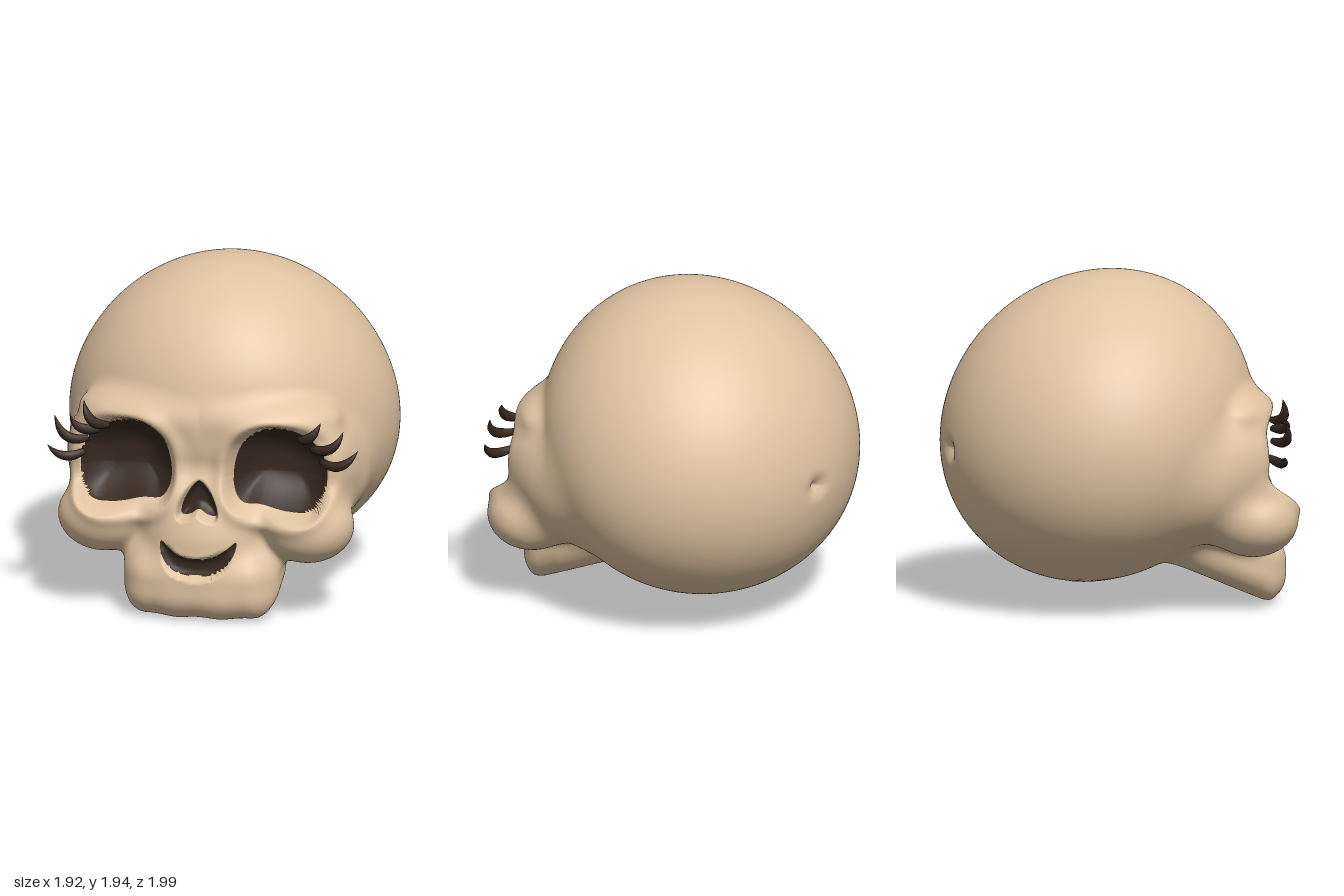
import * as THREE from 'three';

const V2 = (x, y) => new THREE.Vector2(x, y);

// Soft blending of simple solids
const smin = (a, b, k) => {
  const h = Math.max(k - Math.abs(a - b), 0) / k;
  return Math.min(a, b) - h * h * k * 0.25;
};
function ellipsoid(x, y, z, rx, ry, rz) {
  const k0 = Math.hypot(x / rx, y / ry, z / rz);
  const k1 = Math.hypot(x / rx ** 2, y / ry ** 2, z / rz ** 2);
  return k0 < 1e-6 ? -Math.min(rx, ry, rz) : k0 * (k0 - 1) / k1;
}
function roundBox(x, y, z, hx, hy, hz, r) {
  const a = Math.abs(x) - hx + r, b = Math.abs(y) - hy + r, c = Math.abs(z) - hz + r;
  return Math.hypot(Math.max(a, 0), Math.max(b, 0), Math.max(c, 0)) + Math.min(Math.max(a, b, c), 0) - r;
}

// Bone surface: cranium, temples, sockets, brow, nose, cheeks, muzzle and jaw
function bone(px, y, z) {
  const x = Math.abs(px);
  let d = ellipsoid(x * (1 + 0.08 * (y - 0.95)), y - 1.05, z + 0.1 - 0.1 * (y - 1.05), 0.965, 0.9, 0.9);
  if (z < -0.3) return d;
  d = smin(d, ellipsoid(x - 0.45, y - 0.8, z - 0.34, 0.42, 0.38, 0.38), 0.14);
  d = smin(d, ellipsoid(x - 0.4, y - 0.92, z - 0.5, 0.43, 0.35, 0.31), 0.1);
  d = smin(d, ellipsoid(x - 0.36, y - 1.17, z - 0.7 + 0.2 * x, 0.4, 0.13, 0.19), 0.08);
  d = smin(d, ellipsoid(x, y - 1.06, z - 0.58, 0.3, 0.32, 0.24), 0.08);
  d = smin(d, ellipsoid(x, y - 0.66, z - 0.62, 0.4, 0.28, 0.27), 0.08);
  d = smin(d, ellipsoid(x - 0.6, y - 0.55, z - 0.65, 0.27, 0.215, 0.26), 0.12);
  d = smin(d, ellipsoid(x, y - 0.46, z - 0.7, 0.36, 0.28, 0.265), 0.1);
  const jawX = x * (1 + 0.3 * Math.max(0, 0.6 - z)), jawY = y - 0.21 - 0.44 * Math.max(0, 0.84 - z);
  d = smin(d, roundBox(jawX, jawY, z - 0.585 + 0.4 * x * x, 0.46, 0.2, 0.4, 0.16), 0.1);
  // shallow scallops along the chin
  if (y < 0.25) d += 0.005 * Math.cos(x * 24) * (0.25 - y) / 0.25;
  // raised rim round each eye
  const rim = roundBox(x - 0.46, y - 0.89, 0, 0.27, 0.24, 1, 0.2);
  return d - 0.025 * Math.exp(-(((rim - 0.06) / 0.05) ** 2)) * Math.min(1, Math.max(0, (z - 0.4) / 0.25));
}

// March inwards along a ray to the outermost surface
function hit(origin, dir, start) {
  let t = start;
  const p = new THREE.Vector3();
  for (let i = 0; i < 90; i++) {
    p.copy(origin).addScaledVector(dir, t);
    const d = bone(p.x, p.y, p.z);
    if (d < 0.0003) break;
    t -= d * 0.75;
  }
  return p;
}

// Signed distance to a closed outline, negative inside
function outlineDistance(pts, x, y) {
  let best = 1e9, inside = false;
  for (let i = 0, j = pts.length - 1; i < pts.length; j = i++) {
    const a = pts[i], b = pts[j], ex = b.x - a.x, ey = b.y - a.y, wx = x - a.x, wy = y - a.y;
    const t = Math.min(1, Math.max(0, (wx * ex + wy * ey) / (ex * ex + ey * ey + 1e-12)));
    best = Math.min(best, Math.hypot(wx - ex * t, wy - ey * t));
    if ((a.y > y) !== (b.y > y) && x < ex * (y - a.y) / ey + a.x) inside = !inside;
  }
  return inside ? -best : best;
}

const loop = (pairs) => {
  const s = new THREE.CatmullRomCurve3(pairs.map(([x, y]) => new THREE.Vector3(x, y, 0)), true, 'centripetal');
  return s.getPoints(48).slice(0, -1).map((p) => V2(p.x, p.y));
};
const eye = loop([[0.19, 0.78], [0.19, 0.92], [0.24, 1.05], [0.35, 1.13], [0.5, 1.135], [0.63, 1.08],
  [0.715, 0.98], [0.73, 0.85], [0.71, 0.73], [0.65, 0.66], [0.5, 0.655], [0.35, 0.69], [0.24, 0.70]]);
const nose = loop([[0, 0.83], [0.045, 0.79], [0.1, 0.68], [0.1, 0.625], [0.05, 0.63], [0, 0.66],
  [-0.05, 0.63], [-0.1, 0.625], [-0.1, 0.68], [-0.045, 0.79]]);
const mouth = loop([[-0.21, 0.48], [-0.19, 0.475], [-0.11, 0.405], [0, 0.382], [0.11, 0.405], [0.21, 0.475], [0.235, 0.495],
  [0.225, 0.42], [0.15, 0.32], [0.06, 0.285], [-0.06, 0.285], [-0.15, 0.32], [-0.205, 0.41]]);

// Nearest opening: signed distance, z of its edge, width of the rolled lip, depth and width of the dish
function opening(x, y) {
  const eyeZ = 0.745 - 0.06 * Math.abs(x) + 0.2 * Math.max(0, 0.85 - y);
  const all = [[outlineDistance(eye, Math.abs(x), y), eyeZ, 0.055, 0.12, 0.2],
    [outlineDistance(nose, x, y), 0.83, 0.025, 0.04, 0.05],
    [outlineDistance(mouth, x, y), 0.93, 0.02, 0.02, 0.04]];
  return all.reduce((a, b) => (b[0] < a[0] ? b : a));
}

function skullGeometry() {
  const cols = 300, rows = 215, snap = 0.006;
  const centre = new THREE.Vector3(0, 0.75, 0.25), back = new THREE.Vector3(0, 0, 1);
  const pos = [], hollow = [];
  for (let i = 0; i <= rows; i++) {
    // rows and columns are closer together on the face
    const r = Math.PI * i / rows, p = r + 0.25 * Math.sin(2 * r);
    for (let j = 0; j < cols; j++) {
      const t = 2 * Math.PI * j / cols - Math.PI, a = t - 0.5 * Math.sin(t);
      const dir = new THREE.Vector3(Math.sin(a) * Math.sin(p), Math.cos(p), Math.cos(a) * Math.sin(p));
      let v = hit(centre, dir, 1.9), inHole = false;
      if (v.z > 0.5 && v.y > 0.2 && v.y < 1.2 && Math.abs(v.x) < 0.8) {
        let [e, edgeZ, lip, depth, dish] = opening(v.x, v.y);
        inHole = e < snap;
        if (Math.abs(e) < snap) {
          // slide on to the edge of the opening
          const h = 0.001;
          const gx = (opening(v.x + h, v.y)[0] - e) / h, gy = (opening(v.x, v.y + h)[0] - e) / h;
          const o = new THREE.Vector3(v.x - e * gx, v.y - e * gy, 0);
          v = hit(o, back, 1.2);
          e = 0;
        }
        // bone rolls inwards to the edge, then the hollow is dished
        const roll = (1 - Math.min(1, Math.max(0, e) / lip)) ** 2;
        v.z += (Math.min(v.z, edgeZ) - v.z) * roll;
        if (e < 0) v.z -= depth * (1 - (1 - Math.min(1, -e / dish)) ** 2);
      }
      // small dent at the back
      const dent = Math.hypot(v.x, v.y - 0.95);
      if (v.z < 0 && dent < 0.11) v.z += 0.06 * (1 - dent / 0.11) ** 2;
      pos.push(v.x, v.y, v.z);
      hollow.push(inHole);
    }
  }
  const light = [], dark = [];
  const tri = (...f) => (f.every((k) => hollow[k]) ? dark : light).push(...f);
  for (let i = 0; i < rows; i++) {
    for (let j = 0; j < cols; j++) {
      const k = (j + 1) % cols;
      const a = i * cols + j, b = a + cols, c = (i + 1) * cols + k, d = i * cols + k;
      if (i < rows - 1) tri(a, b, c);
      if (i > 0) tri(a, c, d);
    }
  }
  const g = new THREE.BufferGeometry();
  g.setAttribute('position', new THREE.Float32BufferAttribute(pos, 3));
  g.setIndex(light.concat(dark));
  g.addGroup(0, light.length, 0);
  g.addGroup(light.length, dark.length, 1);
  g.computeVertexNormals();
  return g;
}

// Curved lash, thick in the middle and pointed at the tip
function lashGeometry([x0, y0, x1, y1, x2, y2]) {
  const z = 0.71 + 0.35 * (y0 - 0.93);
  const curve = new THREE.QuadraticBezierCurve3(new THREE.Vector3(x0, y0, z),
    new THREE.Vector3(x1, y1, z + 0.08), new THREE.Vector3(x2, y2, z + 0.025));
  const n = 12, sides = 8, g = new THREE.TubeGeometry(curve, n, 0.03, sides);
  const p = g.attributes.position, v = new THREE.Vector3();
  for (let i = 0; i <= n; i++) {
    const c = curve.getPointAt(i / n), s = 0.04 + 0.96 * Math.sin(Math.PI * (0.2 + 0.8 * i / n));
    for (let j = 0; j <= sides; j++) {
      const k = i * (sides + 1) + j;
      v.fromBufferAttribute(p, k).sub(c).multiplyScalar(s).add(c);
      p.setXYZ(k, v.x, v.y, v.z);
    }
  }
  g.computeVertexNormals();
  return g;
}

export function createModel() {
  const material = (name, color) => Object.assign(new THREE.MeshStandardMaterial({ color }), { name });
  const boneMat = material('bone', 0xe0c4a2), darkMat = material('dark brown', 0x37271d);
  const model = new THREE.Group();
  model.name = 'skull';
  const add = (name, geometry, mat) => {
    const m = new THREE.Mesh(geometry, mat);
    m.name = name;
    model.add(m);
  };
  add('skullWithOpenings', skullGeometry(), [boneMat, darkMat]);

  // Lashes: root, bend and tip in x, y
  const lashes = {
    rightLash: [[-0.71, 0.93, -0.82, 0.87, -0.92, 0.96], [-0.68, 1.02, -0.82, 0.99, -0.87, 1.15],
      [-0.61, 1.08, -0.74, 1.08, -0.77, 1.16], [-0.55, 1.12, -0.66, 1.11, -0.69, 1.26]],
    leftLash: [[0.7, 0.96, 0.83, 0.9, 0.92, 1.04], [0.65, 1.04, 0.8, 1.02, 0.84, 1.16],
      [0.58, 1.1, 0.67, 1.1, 0.71, 1.21]],
  };
  for (const [name, list] of Object.entries(lashes)) {
    list.forEach((l, i) => add(name + (i + 1), lashGeometry(l), darkMat));
  }
  return model;
}
